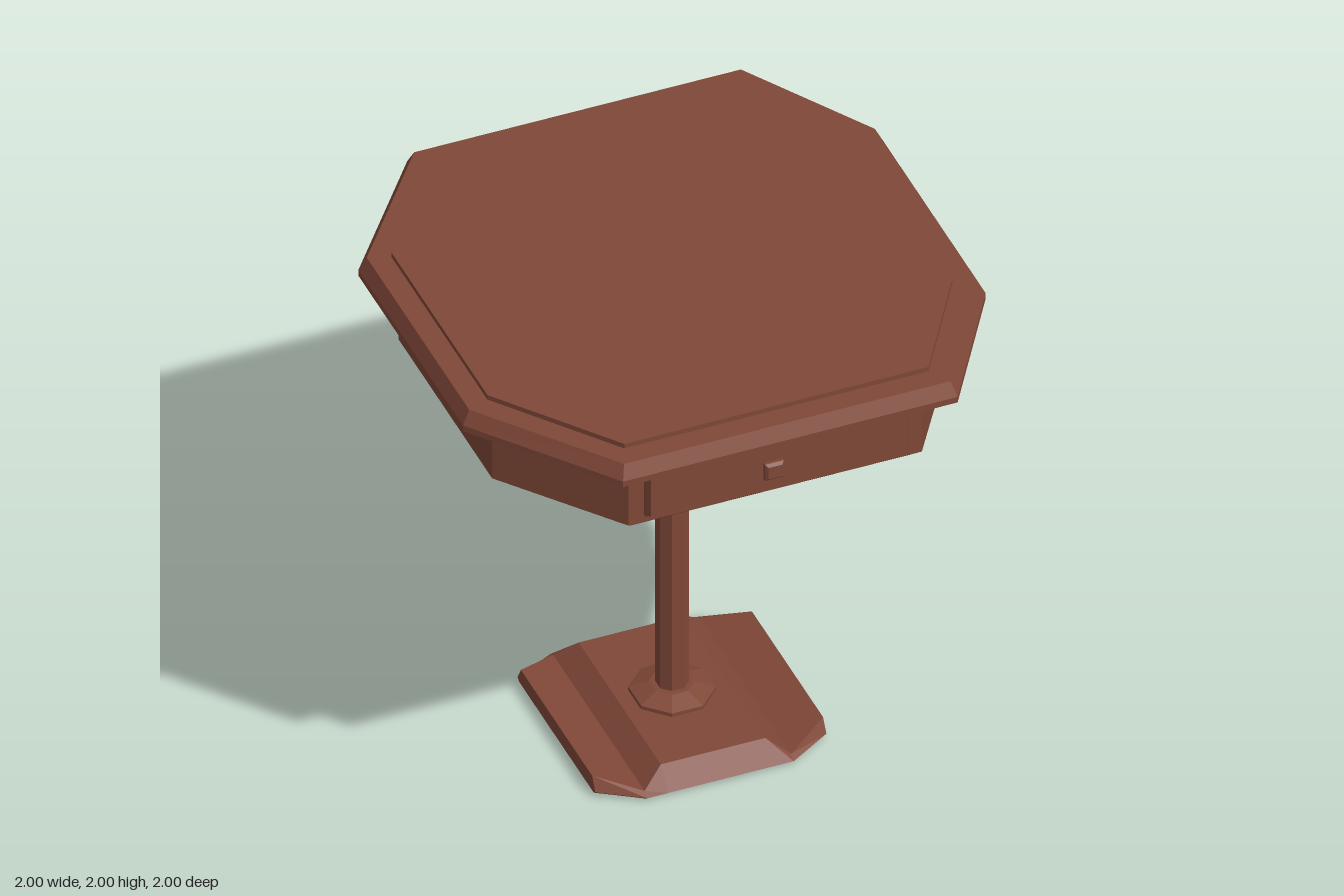
import * as THREE from 'three';

// Skins a stack of rings (each counter-clockwise seen from the last ring's end) with flat faces and caps.
function loft(rings) {
  const pos = [];
  const tri = (a, b, c) => pos.push(...a, ...b, ...c);
  const n = rings[0].length;
  for (let r = 0; r < rings.length - 1; r++) {
    const a = rings[r], b = rings[r + 1];
    for (let i = 0; i < n; i++) {
      const j = (i + 1) % n;
      tri(a[i], a[j], b[j]);
      tri(a[i], b[j], b[i]);
    }
  }
  const first = rings[0], last = rings[rings.length - 1];
  for (let i = 1; i < n - 1; i++) {
    tri(first[0], first[i + 1], first[i]);
    tri(last[0], last[i], last[i + 1]);
  }
  const g = new THREE.BufferGeometry();
  g.setAttribute('position', new THREE.Float32BufferAttribute(pos, 3));
  g.computeVertexNormals();
  return g;
}

// Horizontal octagon: half size h, front/back edge from xl to xr, side edge half length s.
function octagon(y, h, xl, xr, s, dz = 0) {
  return [
    [h, y, s + dz], [h, y, -s + dz], [xr, y, -h + dz], [xl, y, -h + dz],
    [-h, y, -s + dz], [-h, y, s + dz], [xl, y, h + dz], [xr, y, h + dz],
  ];
}

// Upright rectangle facing +z.
function rect(cx, cy, w, h, z) {
  return [[cx - w, cy - h, z], [cx + w, cy - h, z], [cx + w, cy + h, z], [cx - w, cy + h, z]];
}

// Eight-sided turned part; profile radii are measured to the flats.
function turned(profile) {
  const pts = profile.map(([r, y]) => new THREE.Vector2(r / Math.cos(Math.PI / 8), y));
  const g = new THREE.LatheGeometry(pts, 8, Math.PI / 8).toNonIndexed();
  g.computeVertexNormals();
  return g;
}

export function createModel() {
  const wood = new THREE.MeshStandardMaterial({ color: 0x804838 });
  wood.name = 'reddish brown wood';
  const model = new THREE.Group();
  model.name = 'pedestalTable';
  const add = (name, geometry) => {
    const mesh = new THREE.Mesh(geometry, wood);
    mesh.name = name;
    model.add(mesh);
  };

  // Top with bevelled rim and thin raised panel
  add('tableTop', loft([
    octagon(1.9, 1, -0.6, 0.68, 0.485),
    octagon(1.925, 1, -0.6, 0.68, 0.485),
    octagon(1.98, 0.972, -0.585, 0.665, 0.475),
  ]));
  add('topPanel', loft([
    octagon(1.975, 0.89, -0.55, 0.615, 0.445),
    octagon(2.0, 0.89, -0.55, 0.615, 0.445),
  ]));

  // Apron box with chamfered lower edge
  add('apron', loft([
    octagon(1.6, 0.847, -0.515, 0.575, 0.42, 0.01),
    octagon(1.622, 0.872, -0.53, 0.592, 0.435, 0.01),
    octagon(1.905, 0.872, -0.53, 0.592, 0.435, 0.01),
  ]));

  // Drawer front and knob
  add('drawerFront', loft([
    rect(0.033, 1.763, 0.505, 0.108, 0.87),
    rect(0.033, 1.763, 0.505, 0.108, 0.895),
    rect(0.033, 1.763, 0.492, 0.096, 0.917),
  ]));
  add('drawerKnob', loft([
    rect(0.005, 1.75, 0.025, 0.025, 0.91),
    rect(0.005, 1.75, 0.036, 0.036, 0.925),
    rect(0.005, 1.75, 0.036, 0.036, 0.937),
    rect(0.005, 1.75, 0.026, 0.026, 0.947),
  ]));

  // Column, flaring into the upper collar, and lower collar
  add('column', turned([[0.055, 0.1], [0.055, 1.45], [0.075, 1.5]]));
  add('upperCollar', turned([[0, 1.5], [0.075, 1.5], [0.143, 1.535], [0.143, 1.605]]));
  add('lowerCollar', turned([[0.125, 0.088], [0.143, 0.095], [0.143, 0.11], [0.075, 0.137], [0, 0.137]]));

  // Foot: raised centre, grooves and upturned side wings
  const half = [
    // x, bottom y, top y, bottom half depth, top half depth
    [0.2, 0.005, 0.095, 0.45, 0.38],
    [0.28, 0.005, 0.032, 0.45, 0.425],
    [0.442, 0.015, 0.08, 0.36, 0.33],
  ];
  const section = ([x, yb, yt, zb, zt]) =>
    [[x, yt, -zt], [x, yt, zt], [x, yb + 0.012, zb], [x, yb, zb - 0.015], [x, yb, 0.015 - zb], [x, yb + 0.012, -zb]];
  const mirrored = half.map(([x, ...rest]) => [-x, ...rest]).reverse();
  add('foot', loft([...mirrored, ...half].map((s) => section(s))));

  return model;
}
